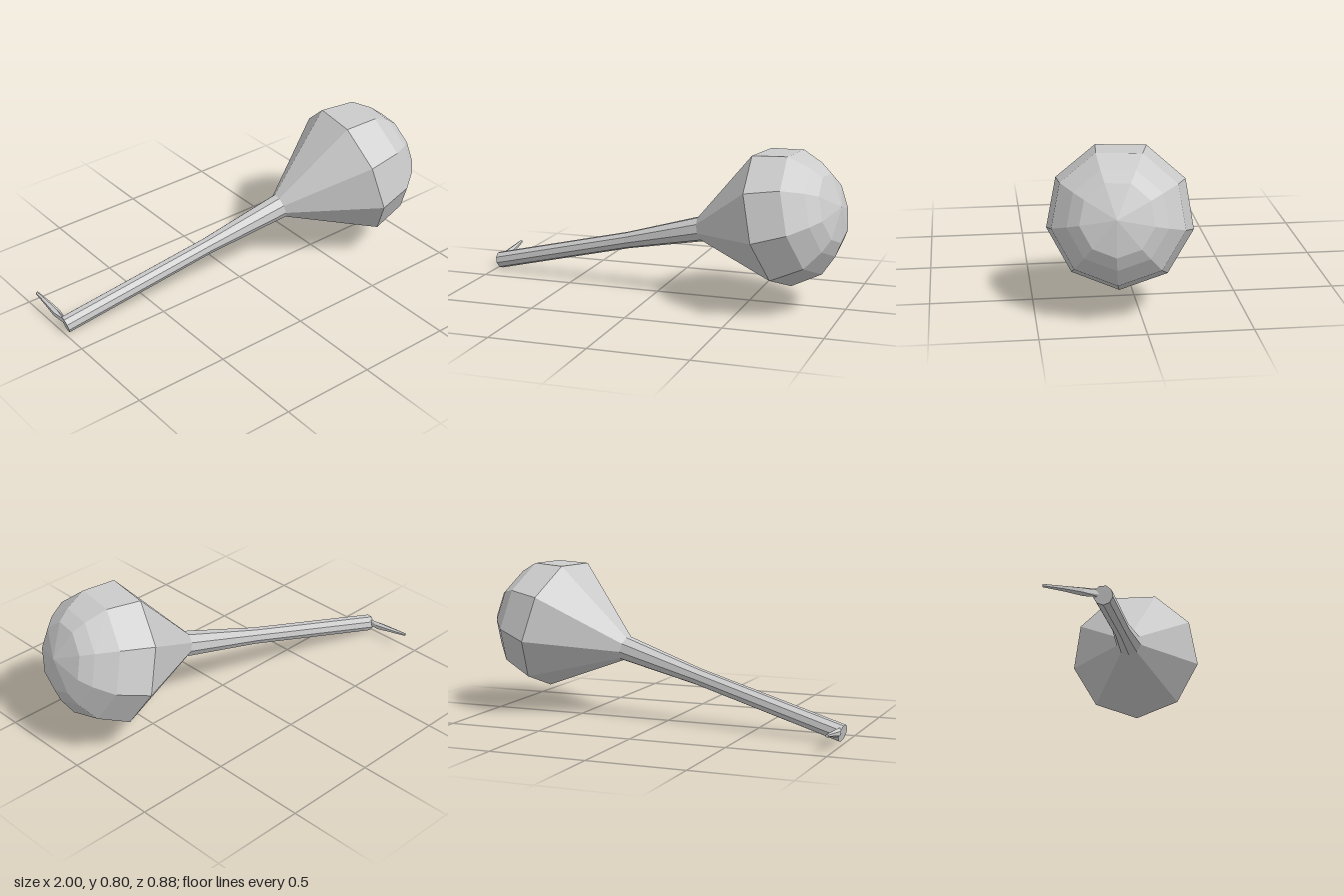
import * as THREE from 'three';

const material = new THREE.MeshStandardMaterial({ color: 0xcccccc, flatShading: true });

// Nine-sided turned part from [radius, distance along the axis] pairs
function turned(name, profile) {
  const points = profile.map(([r, t]) => new THREE.Vector2(r, t));
  const mesh = new THREE.Mesh(new THREE.LatheGeometry(points, 9), material);
  mesh.name = name;
  return mesh;
}

// Thorn: a six-sided tube whose rings [x, y, z, rx, ry] run backwards to the tip
function makeThorn() {
  const rings = [
    [-0.978, 0.06, -0.185, 0.006, 0.02],
    [-0.978, 0.064, -0.257, 0.021, 0.021],
    [-0.979, 0.076, -0.34, 0.016, 0.014],
    [-0.982, 0.088, -0.44, 0.008, 0.008],
  ];
  const geometry = new THREE.CylinderGeometry(1, 1, rings.length - 1, 6, rings.length - 1);
  const pos = geometry.attributes.position;
  for (let i = 0; i < pos.count; i++) {
    const [x, y, z, rx, ry] = rings[Math.round(pos.getY(i) + (rings.length - 1) / 2)];
    pos.setXYZ(i, x + pos.getX(i) * rx, y + pos.getZ(i) * ry, z);
  }
  geometry.computeVertexNormals();
  const mesh = new THREE.Mesh(geometry, material);
  mesh.name = 'thorn';
  return mesh;
}

export function createModel() {
  const model = new THREE.Group();
  model.name = 'club';

  // Stem and head share one tilted axis, with a corner of each ring facing down
  const body = new THREE.Group();
  body.name = 'body';
  const axis = new THREE.Vector3(1, 0.259, 0.157).normalize();
  const down = new THREE.Vector3(0, -1, 0).addScaledVector(axis, axis.y).normalize();
  const side = new THREE.Vector3().crossVectors(axis, down);
  body.quaternion.setFromRotationMatrix(new THREE.Matrix4().makeBasis(side, axis, down));
  body.position.set(-0.985, 0.047, -0.17);

  body.add(
    turned('stem', [[0, 0], [0.045, 0], [0.044, 0.84], [0.066, 1.29]]),
    turned('neck', [[0.066, 1.29], [0.355, 1.713]]),
    turned('head', [[0.355, 1.713], [0.316, 1.89], [0.237, 1.98], [0.175, 2.026], [0, 2.067]]),
  );

  model.add(body, makeThorn());
  return model;
}
